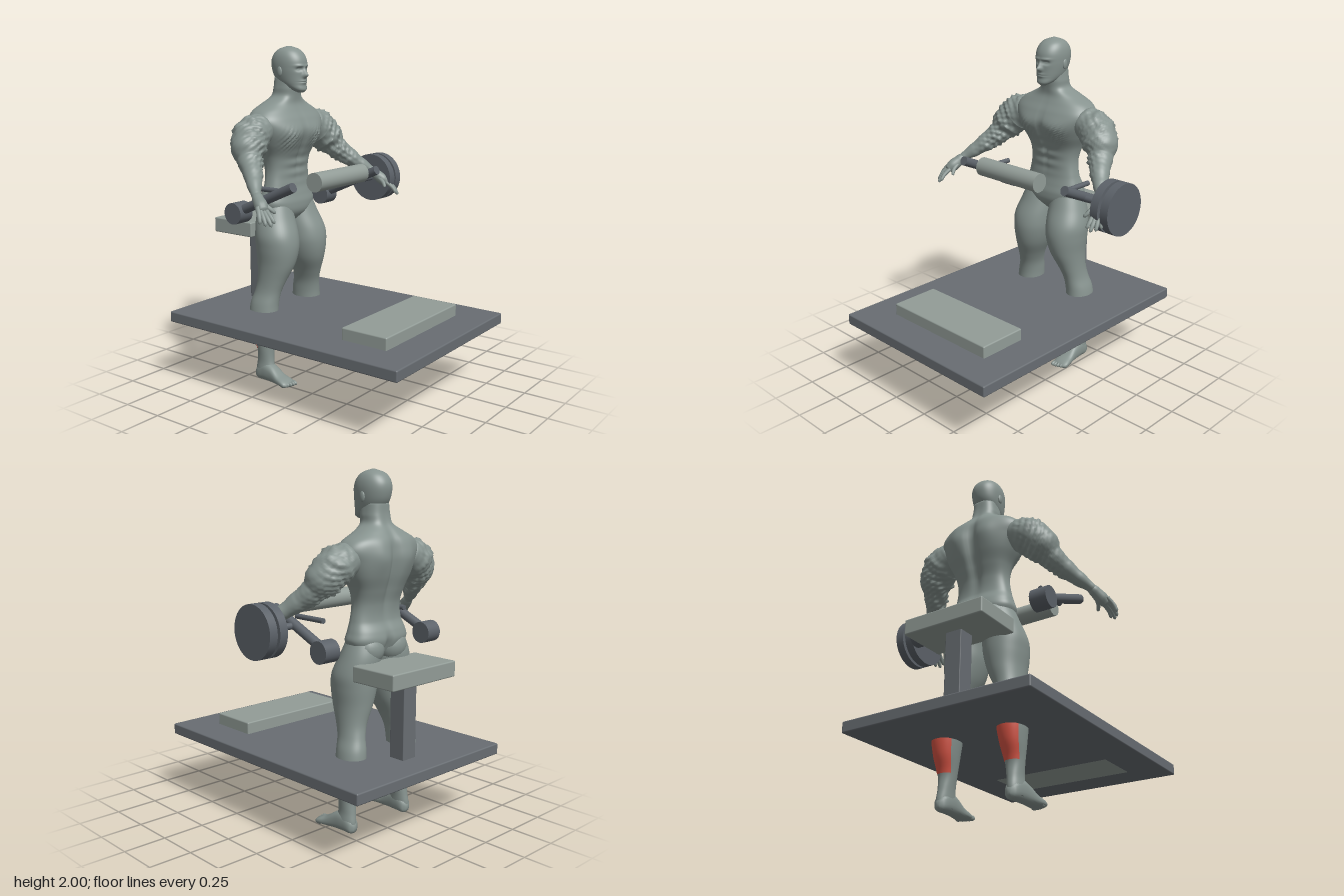
import * as THREE from 'three';
import { mergeVertices } from 'three/addons/utils/BufferGeometryUtils.js';
import { RoundedBoxGeometry } from 'three/addons/geometries/RoundedBoxGeometry.js';

const mat = (name, color, extra = {}) => Object.assign(new THREE.MeshStandardMaterial({ color, ...extra }), { name });
const gauss = (d, w) => Math.exp(-(d * d) / (w * w));
const bell = (x, y, cx, cy, wx, wy) => gauss(x - cx, wx) * gauss(y - cy, wy);
const rough = (x, y, z) => Math.sin(x * 95 + y * 60) * Math.sin(y * 110 - z * 70) * Math.cos(z * 85 + x * 40);

// Smooth interpolation of stations [y, halfWidth, zFront, zBack, centreX]
function sample(st, y) {
  let i = 0;
  while (i < st.length - 2 && y > st[i + 1][0]) i++;
  const a = st[i], b = st[i + 1], p = st[Math.max(i - 1, 0)], n = st[Math.min(i + 2, st.length - 1)];
  const h = b[0] - a[0], t = (y - a[0]) / h, t2 = t * t, t3 = t2 * t;
  return [1, 2, 3, 4].map((k) => {
    const v = (s) => s[k] ?? 0;
    const ma = (v(b) - v(p)) / (b[0] - p[0]) * h, mb = (v(n) - v(a)) / (n[0] - a[0]) * h;
    return (2 * t3 - 3 * t2 + 1) * v(a) + (t3 - 2 * t2 + t) * ma + (3 * t2 - 2 * t3) * v(b) + (t3 - t2) * mb;
  });
}

// Skin over superelliptic cross-sections; an arc gives an open patch
function loft(st, { rows = 50, segs = 48, e = 2, side = 1, from = st[0][0], to = st[st.length - 1][0], arc, grow = 0, bump } = {}) {
  const pos = [], idx = [], [a0, a1] = arc ?? [0, Math.PI * 2], w = arc ? segs + 1 : segs;
  const pw = (v) => Math.sign(v) * Math.abs(v) ** (2 / e);
  for (let j = 0; j <= rows; j++) {
    const y = from + (to - from) * j / rows, [hw, zf, zb, cx] = sample(st, y);
    for (let i = 0; i < w; i++) {
      const a = a0 + (a1 - a0) * i / segs, c = Math.cos(a);
      const x = (Math.max(hw, 0.002) + grow) * pw(Math.sin(a));
      let z = (zf + zb) / 2 + (Math.max((zf - zb) / 2, 0.002) + grow) * pw(c);
      if (bump) z += bump(x, y, c);
      pos.push(x + side * cx, y, z);
    }
  }
  for (let j = 0; j < rows; j++) for (let i = 0; i < segs; i++) {
    const k = (i + 1) % w, a = j * w + i, b = j * w + k, c = a + w, d = b + w;
    idx.push(a, b, d, a, d, c);
  }
  if (!arc) for (const [row, flip] of [[0, true], [rows, false]]) {
    const [, zf, zb, cx] = sample(st, row ? to : from), m = pos.length / 3;
    pos.push(side * cx, row ? to : from, (zf + zb) / 2);
    for (let i = 0; i < segs; i++) {
      const a = row * w + i, b = row * w + (i + 1) % w;
      flip ? idx.push(m, b, a) : idx.push(m, a, b);
    }
  }
  const g = new THREE.BufferGeometry();
  g.setAttribute('position', new THREE.Float32BufferAttribute(pos, 3));
  g.setIndex(idx);
  g.computeVertexNormals();
  return g;
}

// Tube of varying radius through [x, y, z, radius] points
function limb(pts, side = 1, { n = 24, segs = 14, noise } = {}) {
  const curve = new THREE.CatmullRomCurve3(pts.map((p) => new THREE.Vector3(p[0] * side, p[1], p[2])));
  let g = new THREE.TubeGeometry(curve, n, 1, segs, false);
  const P = g.attributes.position, v = new THREE.Vector3();
  for (let i = 0; i < P.count; i++) {
    const t = Math.floor(i / (segs + 1)) / n, c = curve.getPointAt(t);
    const u = curve.getUtoTmapping(t) * (pts.length - 1), k = Math.min(Math.floor(u), pts.length - 2);
    const r = THREE.MathUtils.lerp(pts[k][3], pts[k + 1][3], THREE.MathUtils.smoothstep(u - k, 0, 1));
    v.fromBufferAttribute(P, i).sub(c);
    const d = noise ? noise(c.x * side + v.x * side * r, c.y + v.y * r, c.z + v.z * r) : 0;
    v.multiplyScalar(r + d).add(c);
    P.setXYZ(i, v.x, v.y, v.z);
  }
  g.deleteAttribute('uv');
  g.deleteAttribute('normal');
  g = mergeVertices(g, 1e-5);
  g.computeVertexNormals();
  return g;
}

const TORSO = [[0.96, 0.03, -0.32, -0.4], [1.02, 0.16, -0.27, -0.455], [1.08, 0.203, -0.262, -0.48], [1.13, 0.193, -0.272, -0.472],
  [1.19, 0.174, -0.283, -0.448], [1.28, 0.16, -0.283, -0.452], [1.36, 0.175, -0.27, -0.478], [1.44, 0.215, -0.235, -0.505],
  [1.52, 0.25, -0.215, -0.515], [1.58, 0.268, -0.235, -0.51], [1.63, 0.232, -0.265, -0.5], [1.67, 0.155, -0.283, -0.475],
  [1.71, 0.087, -0.283, -0.445], [1.76, 0.077, -0.277, -0.43], [1.82, 0.07, -0.275, -0.425]];
const HEAD = [[1.735, 0.018, -0.235, -0.27], [1.75, 0.043, -0.222, -0.31], [1.78, 0.066, -0.226, -0.385], [1.82, 0.079, -0.226, -0.425],
  [1.87, 0.087, -0.224, -0.445], [1.92, 0.087, -0.228, -0.447], [1.96, 0.075, -0.25, -0.427], [1.985, 0.051, -0.282, -0.395], [2, 0.008, -0.325, -0.35]];
const LEG = [[0.02, 0.036, -0.29, -0.43, 0.22], [0.06, 0.04, -0.295, -0.433, 0.22], [0.12, 0.04, -0.313, -0.425, 0.215], [0.2, 0.05, -0.315, -0.422, 0.212],
  [0.3, 0.066, -0.305, -0.458, 0.21], [0.4, 0.077, -0.295, -0.477, 0.207], [0.48, 0.074, -0.293, -0.474, 0.2], [0.55, 0.067, -0.283, -0.455, 0.185],
  [0.62, 0.075, -0.258, -0.445, 0.168], [0.72, 0.1, -0.217, -0.455, 0.143], [0.82, 0.12, -0.2, -0.466, 0.133], [0.9, 0.125, -0.21, -0.47, 0.13],
  [1, 0.112, -0.25, -0.477, 0.113], [1.1, 0.085, -0.285, -0.455, 0.1]];
const FOOT = [[-0.435, 0.012, -0.015, -0.05, 0.218], [-0.42, 0.034, 0, -0.08, 0.218], [-0.36, 0.042, 0, -0.115, 0.22], [-0.3, 0.043, 0, -0.1, 0.224],
  [-0.24, 0.047, 0, -0.06, 0.23], [-0.2, 0.051, 0, -0.045, 0.233], [-0.175, 0.048, 0, -0.033, 0.233], [-0.165, 0.03, -0.005, -0.025, 0.233]];
const ARM = [[0.17, 1.57, -0.37, 0.05], [0.235, 1.535, -0.37, 0.095], [0.31, 1.495, -0.365, 0.108], [0.37, 1.43, -0.335, 0.1],
  [0.405, 1.37, -0.295, 0.07], [0.45, 1.315, -0.235, 0.057], [0.5, 1.265, -0.18, 0.043], [0.548, 1.22, -0.125, 0.028], [0.57, 1.19, -0.09, 0.02]];

// Muscle grooves and the crumpled chest patches
function torsoBump(x, y, c) {
  const X = Math.abs(x);
  if (c < 0) return -c * (0.03 * gauss(x, 0.03) * gauss(y - 1.45, 0.2) + 0.025 * gauss(x, 0.02) * gauss(y - 1.05, 0.06)
    - 0.02 * bell(X, y, 0.1, 1.55, 0.06, 0.09));
  const abs = gauss(X, 0.1) * gauss(y - 1.3, 0.08) * 0.004 * Math.cos(y * 100);
  return c * (abs - 0.012 * gauss(x, 0.015) * gauss(y - 1.42, 0.15) + 0.015 * bell(X, y, 0.11, 1.49, 0.08, 0.05)
    + 0.018 * bell(X, y, 0.115, 1.47, 0.045, 0.045) * Math.sin(x * 210 + y * 90) * Math.sin(y * 230));
}
// Nose, brow, eye sockets and lips
function faceBump(x, y, c) {
  if (c < 0) return 0;
  const X = Math.abs(x);
  return 0.026 * bell(x, y, 0, 1.832, 0.014, 0.014) + 0.016 * bell(x, y, 0, 1.852, 0.01, 0.02) - 0.014 * bell(X, y, 0.033, 1.868, 0.018, 0.011)
    + 0.006 * bell(X, y, 0.03, 1.888, 0.028, 0.008) + 0.009 * bell(x, y, 0, 1.795, 0.025, 0.013) - 0.006 * bell(x, y, 0, 1.795, 0.03, 0.003)
    + 0.005 * bell(X, y, 0.033, 1.867, 0.01, 0.005);
}

export function createModel() {
  const skin = mat('grey skin', 0x87938f), pad = mat('pale pad', 0x929c97), deck = mat('deck grey', 0x686d72);
  const steel = mat('dark steel', 0x5c6269), red = mat('calf red', 0xd95545, { side: THREE.DoubleSide });
  const model = new THREE.Group(), body = new THREE.Group();
  body.name = 'figure';
  body.position.x = -0.022;
  model.add(body);
  const add = (parent, name, geo, material, p = [0, 0, 0]) => {
    const m = new THREE.Mesh(geo, material);
    m.name = name;
    m.position.set(...p);
    parent.add(m);
    return m;
  };
  const box = (name, m, [x0, x1], [y0, y1], [z0, z1], r = 0.008) => add(model, name,
    new RoundedBoxGeometry(x1 - x0, y1 - y0, z1 - z0, 2, r), m, [(x0 + x1) / 2, (y0 + y1) / 2, (z0 + z1) / 2]);
  const rod = (name, m, a, b, r) => {
    const A = new THREE.Vector3(...a), B = new THREE.Vector3(...b), d = B.clone().sub(A);
    const mesh = add(model, name, new THREE.CylinderGeometry(r, r, d.length(), 40), m, A.add(B).multiplyScalar(0.5).toArray());
    mesh.quaternion.setFromUnitVectors(new THREE.Vector3(0, 1, 0), d.normalize());
  };

  // Bench
  box('platform', deck, [-0.6, 0.555], [0.375, 0.44], [-0.807, 0.807]);
  box('footPad', pad, [-0.395, 0.353], [0.374, 0.51], [0.317, 0.61]);
  box('seat', pad, [-0.272, 0.23], [0.882, 0.972], [-0.737, -0.44]);
  box('seatPost', deck, [-0.07, 0.03], [0.43, 0.89], [-0.635, -0.535], 0.004);
  rod('roller', pad, [-0.25, 1.255, 0.022], [0.207, 1.255, 0.022], 0.055);

  // Lever arms
  for (const [x, grip] of [[0.384, 0.3], [-0.425, -0.345]]) {
    rod('lever', steel, [x, 1.25, 0.015], [x, 1.07, -0.39], 0.028);
    rod('leverRoller', steel, [x - 0.051, 1.065, -0.392], [x + 0.051, 1.065, -0.392], 0.062);
    rod('grip', steel, [grip, 1.203, -0.29], [grip, 1.203, -0.073], 0.015);
  }
  rod('weightAxle', steel, [0.384, 1.17, -0.147], [0.63, 1.17, -0.147], 0.019);
  for (const x of [0.555, 0.623]) rod('weightPlate', steel, [x, 1.17, -0.147], [x + 0.051, 1.17, -0.147], 0.149);

  // Figure
  add(body, 'torso', loft(TORSO, { e: 2.5, rows: 110, segs: 120, bump: torsoBump }), skin);
  add(body, 'head', loft(HEAD, { e: 2.15, rows: 90, segs: 110, bump: faceBump }), skin);
  const ball = new THREE.SphereGeometry(1, 20, 14);
  for (const s of [1, -1]) {
    add(body, 'ear', ball, skin, [s * 0.086, 1.855, -0.34]).scale.set(0.009, 0.029, 0.018);
    add(body, 'buttock', ball, skin, [s * 0.09, 1.035, -0.4]).scale.set(0.095, 0.095, 0.085);
    add(body, 'leg', loft(LEG, { rows: 80, e: 2.1, side: s }), skin);
    add(body, 'calfPatch', loft(LEG, { rows: 12, segs: 16, e: 2.1, side: s, from: 0.2, to: 0.4, arc: [Math.PI * 0.68, Math.PI * 1.32], grow: 0.003 }), red);
    add(body, 'foot', loft(FOOT, { rows: 24, segs: 28, e: 2.5, side: s }), skin).rotation.x = Math.PI / 2;
    for (let i = 0; i < 5; i++) {
      add(body, 'toe', ball, skin, [s * (0.196 + i * 0.0185), 0.015, -0.167 - i * i * 0.0016])
        .scale.set(i ? 0.0095 : 0.013, 0.015, 0.024);
    }
    // Torn, lumpy upper arm running into a smooth forearm
    const noise = (x, y, z) => 0.016 * rough(x, y, z) * gauss(x - 0.35, 0.08);
    add(body, 'arm', limb(ARM, s, { n: 80, segs: 48, noise }), skin);
    add(body, 'palm', limb([[0.54, 1.23, -0.135, 0.02], [0.562, 1.2, -0.1, 0.032], [0.582, 1.168, -0.06, 0.037], [0.596, 1.145, -0.035, 0.03], [0.6, 1.135, -0.025, 0.003]], s), skin);
    for (const [x0, y0, z0, x1, y1, z1] of [[0.615, 1.165, -0.055, 0.65, 1.085, -0.01], [0.608, 1.155, -0.045, 0.635, 1.075, 0.02],
      [0.595, 1.148, -0.035, 0.612, 1.07, 0.04], [0.58, 1.15, -0.03, 0.588, 1.085, 0.04], [0.555, 1.18, -0.075, 0.528, 1.125, -0.005]]) {
      const mid = (a, b, t) => a + (b - a) * t;
      const p = [[0, 0.014], [0.5, 0.0125], [0.9, 0.01], [1, 0.002]].map(([t, r]) =>
        [mid(x0, x1, t) + 0.006 * Math.sin(t * Math.PI), mid(y0, y1, t), mid(z0, z1, t) + 0.008 * Math.sin(t * Math.PI), r]);
      add(body, 'finger', limb(p, s, { n: 12, segs: 10 }), skin);
    }
  }
  return model;
}
